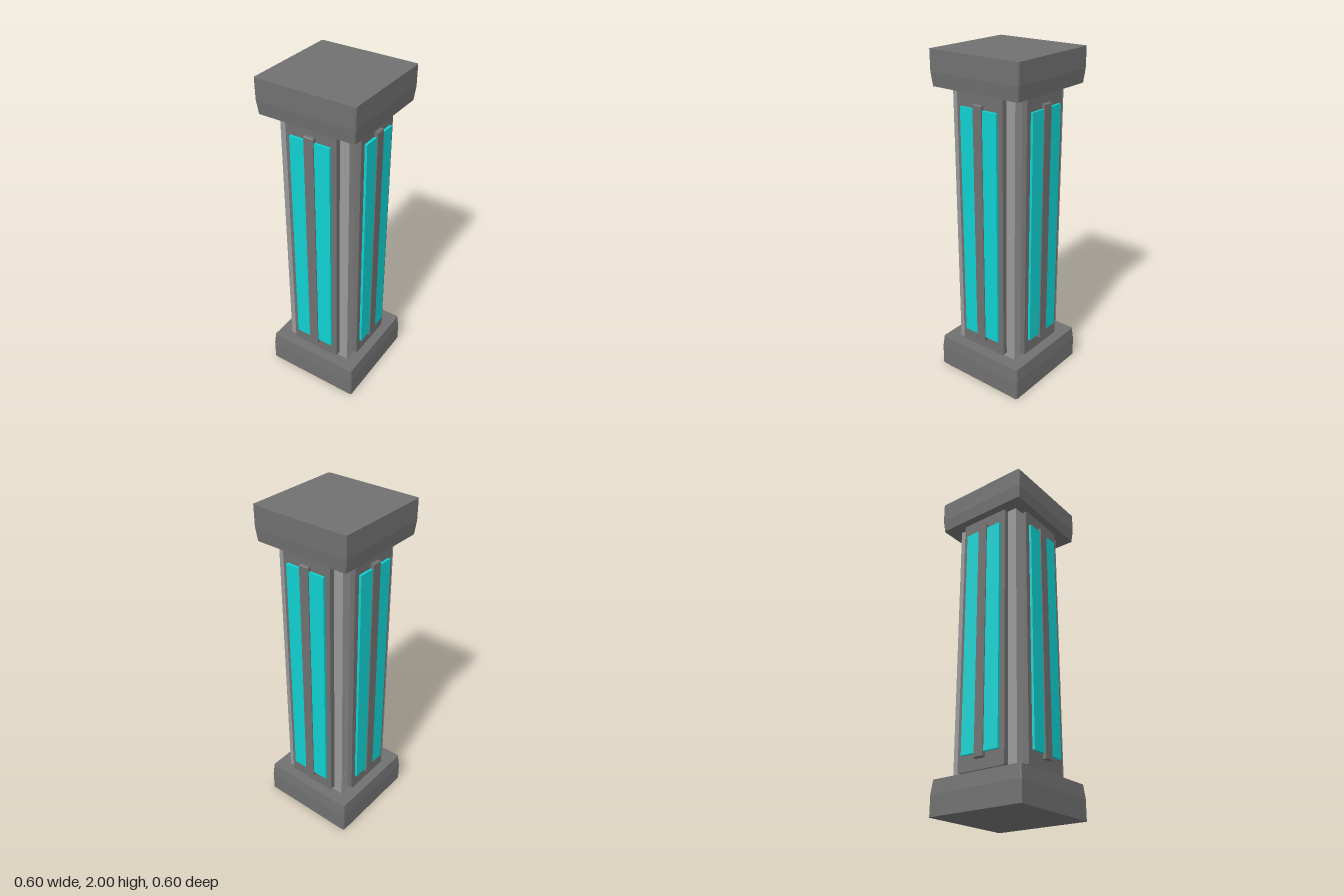
import * as THREE from 'three';

const material = (color) => new THREE.MeshStandardMaterial({ color, flatShading: true });

// Rectangle with cut corners, from (x0, y0) to (x1, y1)
function cutRect(x0, y0, x1, y1, c) {
  return new THREE.Shape([
    [x0 + c, y0], [x1 - c, y0], [x1, y0 + c], [x1, y1 - c],
    [x1 - c, y1], [x0 + c, y1], [x0, y1 - c], [x0, y0 + c],
  ].map(([x, y]) => new THREE.Vector2(x, y)));
}

// Solid block lofted through cut-cornered square rings [y, half width], bottom to top
function blockGeometry(rings, cut) {
  const pos = [], index = [];
  for (const [y, r] of rings) {
    for (const p of cutRect(-r, -r, r, r, cut).getPoints().slice(0, 8)) pos.push(p.x, y, -p.y);
  }
  for (let k = 0; k < rings.length - 1; k++) {
    for (let i = 0; i < 8; i++) {
      const a = k * 8 + i, b = k * 8 + (i + 1) % 8;
      index.push(a, b, b + 8, a, b + 8, a + 8);
    }
  }
  const top = (rings.length - 1) * 8;
  for (let i = 1; i < 7; i++) index.push(0, i + 1, i, top, top + i, top + i + 1);
  const geometry = new THREE.BufferGeometry();
  geometry.setAttribute('position', new THREE.Float32BufferAttribute(pos, 3));
  geometry.setIndex(index);
  const flat = geometry.toNonIndexed();
  flat.computeVertexNormals();
  return flat;
}

export function createModel() {
  const group = new THREE.Group();
  const dark = material(0x707070), light = material(0x999999), glow = material(0x10d0d0);

  const add = (parent, name, geometry, mat) => {
    const mesh = new THREE.Mesh(geometry, mat);
    mesh.name = name;
    parent.add(mesh);
    return mesh;
  };

  // Base and capital taper slightly towards the shaft
  add(group, 'base', blockGeometry([[0, 0.302], [0.12, 0.302], [0.2, 0.294]], 0.007), dark);
  add(group, 'capital', blockGeometry([[1.8, 0.294], [1.88, 0.302], [2, 0.302]], 0.007), dark);

  // Square shaft
  add(group, 'shaft', new THREE.BoxGeometry(0.43, 1.62, 0.43).translate(0, 1, 0), light);

  // Backing plate, lit panel and centre bar shared by all four sides
  const plate = new THREE.ExtrudeGeometry(cutRect(-0.157, 0.22, 0.157, 1.8, 0.008),
    { depth: 0.047, bevelEnabled: false }).translate(0, 0, 0.2);
  const panel = new THREE.BoxGeometry(0.25, 1.4, 0.03).translate(0, 1.01, 0.247);
  const bar = new THREE.ExtrudeGeometry(cutRect(-0.268, 0.28, -0.235, 1.737, 0.006),
    { depth: 0.06, bevelEnabled: false }).translate(0, 0, -0.03).rotateY(Math.PI / 2);

  ['front', 'left', 'back', 'right'].forEach((sideName, i) => {
    const side = new THREE.Group();
    side.name = sideName + 'Side';
    add(side, 'backingPlate', plate, dark);
    add(side, 'lightPanel', panel, glow);
    add(side, 'centreBar', bar, dark);
    side.rotation.y = i * Math.PI / 2;
    group.add(side);
  });

  return group;
}
